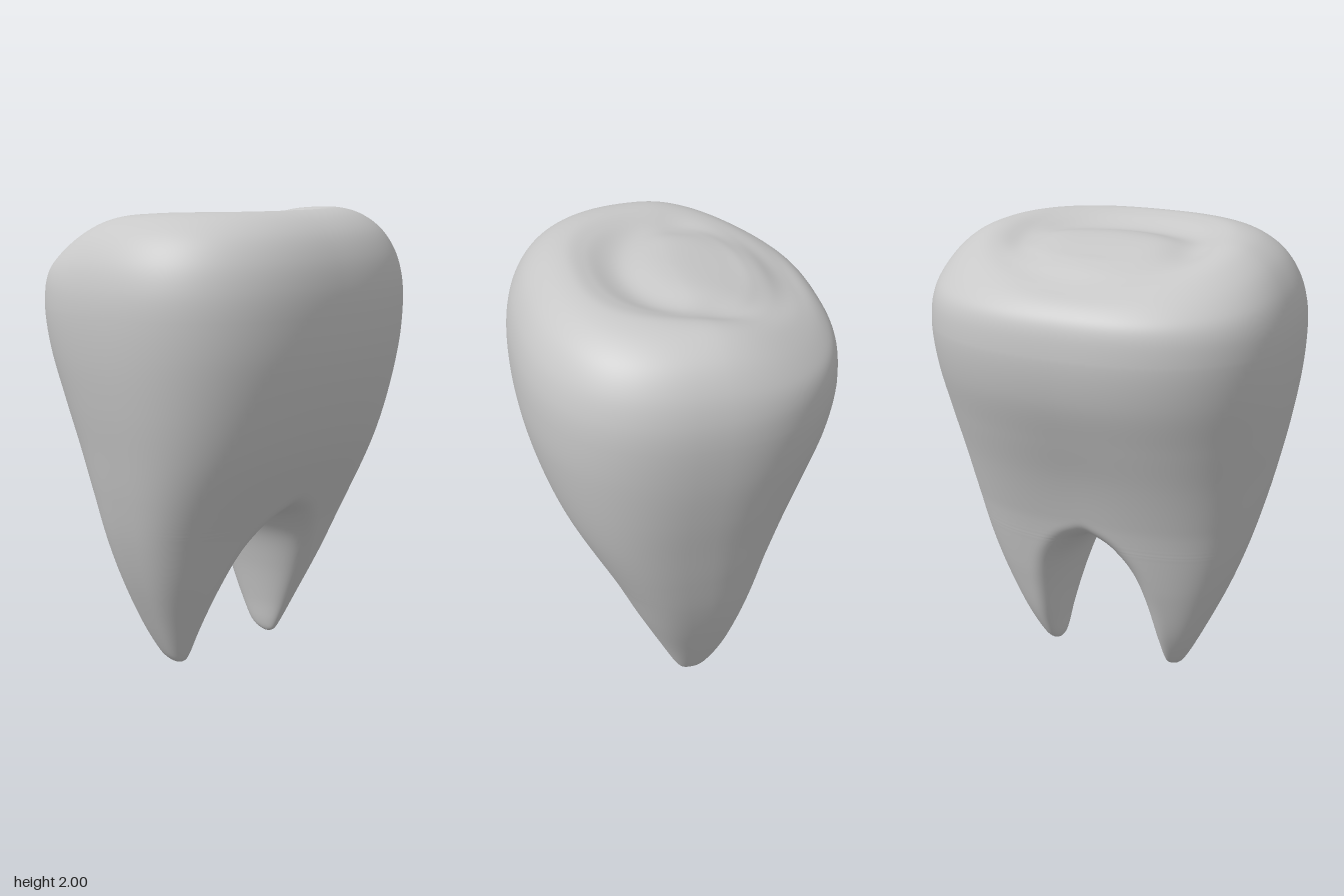
import * as THREE from 'three';
import { mergeVertices } from 'three/addons/utils/BufferGeometryUtils.js';

const SADDLE = 0.66; // height where the two roots part
const WIDEST = 1.58; // height where the crown starts to curl in
const smooth = THREE.MathUtils.smoothstep;

// smooth lookup through [key, value] pairs with rising keys
function lookup(pairs) {
  const pts = new THREE.SplineCurve(pairs.map(p => new THREE.Vector2(...p))).getPoints(400);
  return key => {
    const i = pts.findIndex(p => p.x >= key);
    if (i < 0) return pts[pts.length - 1].y;
    if (i === 0) return pts[0].y;
    const a = pts[i - 1], b = pts[i];
    return a.y + (b.y - a.y) * (key - a.x) / (b.x - a.x || 1);
  };
}

// outlines by height: outer side, front, back, and the arch between the roots
const outer = lookup([[0, 0.3], [0.015, 0.327], [0.06, 0.361], [0.2, 0.434], [0.4, 0.526], [0.6, 0.6],
  [0.8, 0.657], [1, 0.705], [1.2, 0.75], [1.4, 0.785], [WIDEST, 0.8], [1.7, 0.79]]);
const front = lookup([[0, -0.02], [0.015, 0.017], [0.06, 0.048], [0.2, 0.118], [0.4, 0.22], [0.6, 0.322],
  [0.8, 0.437], [1, 0.537], [1.2, 0.608], [1.4, 0.655], [WIDEST, 0.67], [1.7, 0.66]]);
const back = lookup([[0, -0.02], [0.015, -0.07], [0.06, -0.123], [0.2, -0.198], [0.4, -0.27], [0.6, -0.338],
  [0.8, -0.408], [1, -0.483], [1.2, -0.563], [1.4, -0.637], [WIDEST, -0.67], [1.7, -0.655]]);
const archAt = lookup([[0, 0.3], [0.015, 0.28], [0.06, 0.265], [0.17, 0.245], [0.36, 0.2], [0.52, 0.145],
  [0.62, 0.07], [SADDLE, 0]]);
const inner = y => (y >= SADDLE ? 0 : Math.max(0, archAt(y)));
const archLine = Array.from({ length: 61 }, (_, i) => {
  const y = SADDLE * i / 60;
  return new THREE.Vector2(inner(y), y);
});

// distance from a point to the arch
function archDistance(x, y) {
  let best = 9;
  for (let i = 0; i < 60; i++) {
    const a = archLine[i], b = archLine[i + 1];
    const dx = b.x - a.x, dy = b.y - a.y;
    const t = THREE.MathUtils.clamp(((x - a.x) * dx + (y - a.y) * dy) / (dx * dx + dy * dy), 0, 1);
    best = Math.min(best, Math.hypot(x - a.x - t * dx, y - a.y - t * dy));
  }
  return best;
}

// half a cross-section, from the back middle round the side to the front middle
const STEPS = 44;
function halfSection(y) {
  const w = outer(y), x0 = Math.min(inner(y), w), zf = front(y), zb = back(y);
  const power = 3 - 0.53 * smooth(y, 0.2, 1.4); // squarer towards the roots
  // rounding radius of the arch edge, shrinking with the root and under the body
  const span = 0.6 * (w - x0);
  const r = Math.max(0.001, 0.2 * span / Math.hypot(0.2, span) * (1 - 0.25 * smooth(y, 0.4, 0.8)));
  const cols = [];
  for (let i = 0; i <= STEPS; i++) {
    const x = x0 + (w - x0) * (1 - Math.cos(Math.PI * i / STEPS)) / 2;
    const hull = Math.pow(Math.max(0, 1 - Math.pow(Math.min(1, x / w), power)), 1 / power);
    const s = Math.min(1, archDistance(x, y) / r);
    const pinch = i === 0 && y <= SADDLE ? 0 : Math.sqrt(1 - (1 - s) ** 3);
    cols.push({ x, d: i === STEPS ? 0 : hull * pinch });
  }
  const max = Math.max(...cols.map(c => c.d), 1e-6);
  const mid = (zf + zb) / 2, half = (zf - zb) / 2;
  // shallow hollow on the back above the arch
  const hollow = x => 1 - 0.03 * Math.exp(-((x / 0.25) ** 2) - (((y - 0.95) / 0.28) ** 2));
  const rear = cols.map(c => [c.x, y, mid - half * c.d / max * hollow(c.x)]);
  const fore = cols.map(c => [c.x, y, mid + half * c.d / max]);
  return [...rear, ...fore.reverse().slice(1)];
}

// chewing surface: sloping back, with a ring groove around a central cusp and two side pits
function shapeTop([x, y, z]) {
  const slope = 0.11 * smooth(y, 1.66, 2) * smooth(-z, 0, 0.6);
  const ring = Math.exp(-(((Math.hypot(x / 0.4, (z + 0.13) / 0.33) - 1) / 0.3) ** 2));
  const pit = Math.exp(-(((Math.abs(x) - 0.38) / 0.1) ** 2) - (((z + 0.12) / 0.12) ** 2));
  const carve = smooth(y, 1.85, 1.96) * (0.032 * ring + 0.015 * pit);
  return [x, y - slope - carve, z];
}

function toothGeometry() {
  const rows = [];
  // roots, rows crowded at the tips and at the saddle
  for (let i = 0; i <= 48; i++) rows.push(halfSection(SADDLE * (1 - Math.cos(Math.PI * i / 48)) / 2));
  // body
  for (let i = 1; i <= 56; i++) rows.push(halfSection(SADDLE + (WIDEST - SADDLE) * (i / 56) ** 1.8));
  // crown, scaled copies of the widest section; the first point only sets the starting direction
  const rim = rows[rows.length - 1];
  const cap = new THREE.SplineCurve([[0.985, 1.46], [1, WIDEST], [0.99, 1.7], [0.948, 1.81], [0.867, 1.905],
    [0.75, 1.97], [0.62, 1.998], [0.5, 1.992], [0.38, 1.98], [0.2, 1.973], [0, 1.973]]
    .map(p => new THREE.Vector2(...p)));
  for (let i = 1; i <= 64; i++) {
    const p = cap.getPoint(0.1 + 0.9 * i / 64);
    rows.push(rim.map(([x, , z]) => [x * p.x, p.y, z * p.x]));
  }
  const pos = [], index = [], n = rows[0].length;
  for (const side of [1, -1]) {
    const base = pos.length / 3;
    for (const row of rows) for (const q of row) {
      const [x, y, z] = shapeTop(q);
      pos.push(side * x, y, z);
    }
    for (let r = 0; r < rows.length - 1; r++) for (let j = 0; j < n - 1; j++) {
      const a = base + r * n + j, b = a + 1, c = a + n, d = c + 1;
      if (side > 0) index.push(a, c, b, b, c, d);
      else index.push(a, b, c, b, d, c);
    }
  }
  const raw = new THREE.BufferGeometry();
  raw.setAttribute('position', new THREE.Float32BufferAttribute(pos, 3));
  raw.setIndex(index);
  const geo = mergeVertices(raw, 1e-4);
  geo.computeVertexNormals();
  return geo;
}

export function createModel() {
  const group = new THREE.Group();
  group.name = 'molar';
  const enamel = new THREE.MeshStandardMaterial({ color: 0xc8c8c8 });
  enamel.name = 'enamel grey';
  const tooth = new THREE.Mesh(toothGeometry(), enamel);
  tooth.name = 'tooth';
  group.add(tooth);
  return group;
}
